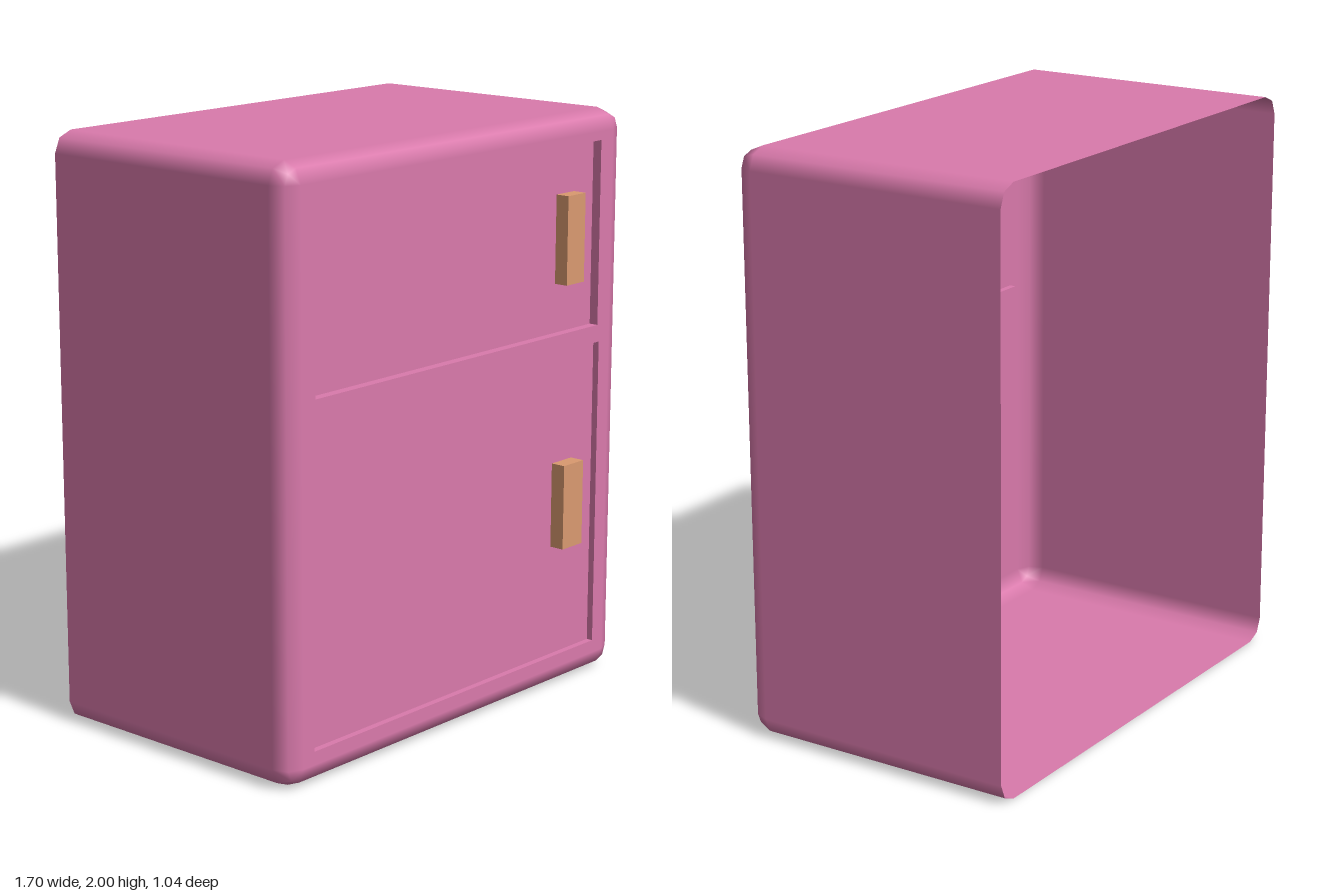
import * as THREE from 'three';

const W = 0.85, H = 2, R = 0.07, BACK = -0.52, FRONT = 0.49;

const pink = new THREE.MeshStandardMaterial({ color: 0xda7aac, side: THREE.DoubleSide });
pink.name = 'pink';
const tan = new THREE.MeshStandardMaterial({ color: 0xda9a70, side: THREE.DoubleSide });
tan.name = 'tan';

// Rectangles are [x0, y0, x1, y1]
const corners = ([x0, y0, x1, y1]) => [[x0, y0], [x1, y0], [x1, y1], [x0, y1]];
const outline = (r) => corners(r).map(([x, y]) => new THREE.Vector2(x, y));

// Flat panel facing +z, with rectangular holes
function panel(rect, z, holes = []) {
  const shape = new THREE.Shape(outline(rect));
  holes.forEach((h) => shape.holes.push(new THREE.Path(outline(h).reverse())));
  return new THREE.ShapeGeometry(shape).translate(0, 0, z);
}

// Four walls from z0 to z1: outward when z1 > z0, inward when z1 < z0
function walls(rect, z0, z1) {
  const c = corners(rect), pos = [];
  c.forEach(([ax, ay], i) => {
    const [bx, by] = c[(i + 1) % 4];
    pos.push(ax, ay, z0, bx, by, z0, bx, by, z1, ax, ay, z0, bx, by, z1, ax, ay, z1);
  });
  const g = new THREE.BufferGeometry();
  g.setAttribute('position', new THREE.Float32BufferAttribute(pos, 3));
  g.computeVertexNormals();
  return g;
}

// Open-backed shell: rounded outline swept forward, then rounded into the front
function shell() {
  const pos = [], nor = [], idx = [], n = 12;
  const rings = [[BACK, 0], [FRONT - R, 0], [FRONT - R, Math.PI / 4], [FRONT - R, Math.PI / 2]];
  const centres = [[1, 1], [-1, 1], [-1, -1], [1, -1]];
  for (const [z, phi] of rings) {
    const c = Math.cos(phi), s = Math.sin(phi);
    centres.forEach(([sx, sy], q) => {
      for (let k = 0; k < 3; k++) {
        const a = (q + k / 2) * Math.PI / 2;
        const nx = Math.cos(a) * c, ny = Math.sin(a) * c;
        pos.push(sx * (W - R) + nx * R, H / 2 + sy * (H / 2 - R) + ny * R, z + s * R);
        nor.push(nx, ny, s);
      }
    });
  }
  for (let r = 0; r < rings.length - 1; r++) {
    for (let i = 0; i < n; i++) {
      const j = (i + 1) % n, a = r * n + i, b = r * n + j;
      idx.push(a, b, b + n);
      // the last ring closes to a point at each corner
      idx.push(a, b + n, a + n);
    }
  }
  const g = new THREE.BufferGeometry();
  g.setAttribute('position', new THREE.Float32BufferAttribute(pos, 3));
  g.setAttribute('normal', new THREE.Float32BufferAttribute(nor, 3));
  g.setIndex(idx);
  return g;
}

export function createModel() {
  const model = new THREE.Group();
  model.name = 'cabinet';
  const add = (name, geometry, material, parent = model) => {
    const m = new THREE.Mesh(geometry, material);
    m.name = name;
    parent.add(m);
  };

  const doors = [
    { name: 'upperDoor', rect: [-0.72, 1.26, 0.715, 1.9], z: 0.457, handle: [0.515, 1.43, 0.61, 1.735], tip: 0.507 },
    { name: 'lowerDoor', rect: [-0.73, 0.115, 0.725, 1.2], z: 0.467, handle: [0.503, 0.507, 0.61, 0.805], tip: 0.52 },
  ];

  // Cabinet body
  add('shell', shell(), pink);
  add('frontFrame', panel([R - W, R, W - R, H - R], FRONT, doors.map((d) => d.rect)), pink);

  // Recessed doors, each with a hollow handle open at the back
  for (const d of doors) {
    const door = new THREE.Group();
    door.name = d.name;
    model.add(door);
    add('recess', walls(d.rect, FRONT, d.z), pink, door);
    add('doorPanel', panel(d.rect, d.z, [d.handle]), pink, door);
    add('handleSides', walls(d.handle, d.z, d.tip), tan, door);
    add('handleFront', panel(d.handle, d.tip), tan, door);
  }
  return model;
}
